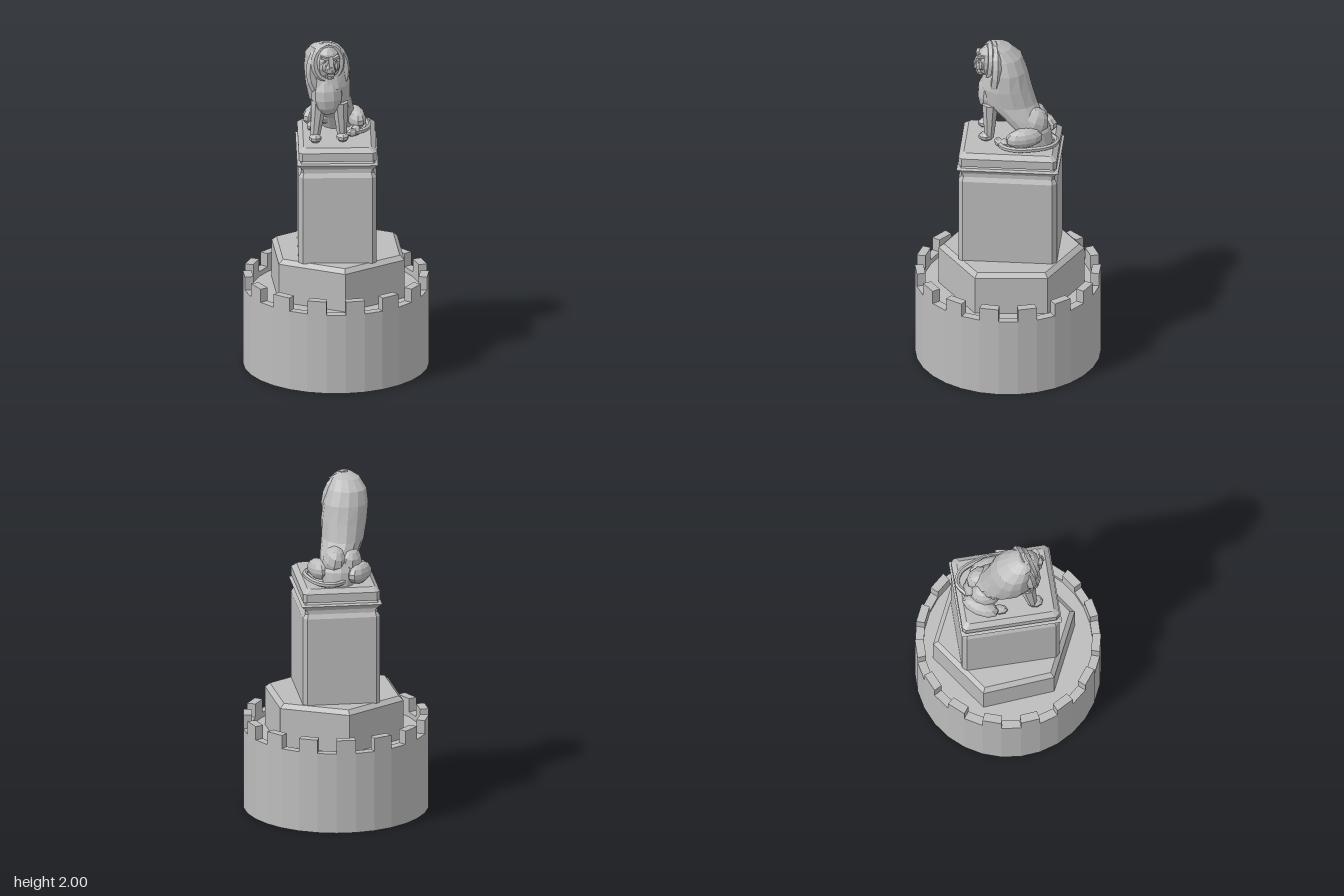
import * as THREE from 'three';

const stone = new THREE.MeshStandardMaterial({ color: 0xbcbcbc, flatShading: true });
stone.name = 'grey stone';

// Closed solid through stacked rings of [x, y, z], counter-clockwise seen from above
function loft(rings) {
  const n = rings[0].length, pos = rings.flat(2), idx = [];
  for (let k = 0; k < rings.length - 1; k++) {
    for (let j = 0; j < n; j++) {
      const a = k * n + j, b = k * n + (j + 1) % n;
      idx.push(a, b, b + n, a, b + n, a + n);
    }
  }
  const top = (rings.length - 1) * n;
  for (let j = 1; j < n - 1; j++) idx.push(0, j + 1, j, top, top + j, top + j + 1);
  const g = new THREE.BufferGeometry();
  g.setAttribute('position', new THREE.Float32BufferAttribute(pos, 3));
  g.setIndex(idx);
  const flat = g.toNonIndexed();
  flat.computeVertexNormals();
  return flat;
}

// Ellipse ring turned about y
function ellipseRing(n, cx, y, cz, rx, rz, turn = 0, start = 0) {
  return Array.from({ length: n }, (_, i) => {
    const t = start + i / n * Math.PI * 2, x = rx * Math.sin(t), z = rz * Math.cos(t);
    return [cx + x * Math.cos(turn) + z * Math.sin(turn), y, cz - x * Math.sin(turn) + z * Math.cos(turn)];
  });
}

// Rectangle with cut corners
function cutRect(a, b, c, y) {
  return [[c - a, b], [a - c, b], [a, b - c], [a, c - b], [a - c, -b], [c - a, -b], [-a, c - b], [-a, b - c]]
    .map(([x, z]) => [x, y, z]);
}

function add(parent, name, geometry, position = [0, 0, 0], turn = [0, 0, 0]) {
  const m = new THREE.Mesh(geometry, stone);
  m.name = name;
  m.position.set(...position);
  m.rotation.set(...turn);
  parent.add(m);
  return m;
}

function blob(parent, name, position, radii, turn = [0, 0, 0], w = 10, h = 7) {
  return add(parent, name, new THREE.SphereGeometry(1, w, h).scale(...radii), position, turn);
}

// Tapered limb between two points
function limb(parent, name, from, to, r0, r1) {
  const a = new THREE.Vector3(...from), b = new THREE.Vector3(...to), d = b.clone().sub(a);
  const m = add(parent, name, new THREE.CylinderGeometry(r1, r0, d.length(), 8));
  m.position.copy(a).addScaledVector(d, 0.5);
  m.quaternion.setFromUnitVectors(new THREE.Vector3(0, 1, 0), d.normalize());
  return m;
}

function buildTower() {
  const g = new THREE.Group(), R = 0.537, r = 0.487, step = Math.PI / 15;
  g.name = 'tower';
  const profile = [[0, 0], [R, 0], [R, 0.48], [r, 0.48], [r, 0.45], [0, 0.45]].map(p => new THREE.Vector2(...p));
  add(g, 'drum', new THREE.LatheGeometry(profile, 30, step / 2));
  // every other side of the wall carries a merlon
  for (let i = 0; i < 15; i++) {
    const p = (2 * i + 0.5) * step, q = p + step;
    const ring = y => [[R, p], [R, q], [r, q], [r, p]].map(([d, t]) => [d * Math.sin(t), y, d * Math.cos(t)]);
    add(g, 'merlon', loft([ring(0.48), ring(0.56)]));
  }
  return g;
}

function buildPedestal() {
  const g = new THREE.Group();
  g.name = 'pedestal';
  // six-sided step with a bevelled rim
  const hex = (y, R) => ellipseRing(6, 0.02, y, -0.015, R, R, 0, 41.6 * Math.PI / 180);
  add(g, 'hexagonalStep', loft([hex(0.44, 0.42), hex(0.68, 0.42), hex(0.705, 0.39)]));
  const column = new THREE.Group();
  column.name = 'column';
  column.position.set(0.01, 0, -0.012);
  column.rotation.y = -0.4;
  g.add(column);
  const rings = list => loft(list.map(([y, a, b, c]) => cutRect(a, b, c, y)));
  add(column, 'shaft', rings([[0.7, 0.225, 0.285, 0.025], [1.225, 0.225, 0.285, 0.025],
    [1.25, 0.21, 0.27, 0.015], [1.28, 0.21, 0.27, 0.01]]));
  add(column, 'cornice', rings([[1.27, 0.208, 0.268, 0.005], [1.283, 0.215, 0.275, 0.004],
    [1.303, 0.234, 0.294, 0.003], [1.31, 0.215, 0.275, 0.004], [1.325, 0.205, 0.265, 0.005]]));
  add(column, 'capSlab', rings([[1.325, 0.224, 0.284, 0.02], [1.375, 0.224, 0.284, 0.02],
    [1.4, 0.195, 0.255, 0.015]]));
  return g;
}

function buildHead() {
  const head = new THREE.Group();
  head.name = 'head';
  head.position.set(-0.09, 1.87, 0.085);
  head.rotation.y = -0.15;
  blob(head, 'skull', [0, 0.01, 0], [0.078, 0.1, 0.07]);
  // mane folds framing the face
  const fold = (name, rx, ry, tube, p, tilt) => add(head, name,
    new THREE.TorusGeometry(1, tube / rx, 6, 18).scale(rx, ry, rx), p, [tilt, 0, 0]);
  fold('innerMane', 0.077, 0.093, 0.024, [0, 0.008, 0], -0.1);
  fold('outerMane', 0.1, 0.135, 0.032, [0.008, -0.05, -0.025], -0.08);
  // face
  add(head, 'muzzle', loft([ellipseRing(8, 0, -0.03, 0.05, 0.036, 0.038),
    ellipseRing(8, 0, -0.005, 0.05, 0.035, 0.042), ellipseRing(8, 0, 0.025, 0.045, 0.02, 0.035)]));
  add(head, 'lowerJaw', loft([ellipseRing(8, 0, -0.072, 0.045, 0.022, 0.026),
    ellipseRing(8, 0, -0.05, 0.045, 0.03, 0.035)]));
  add(head, 'noseBridge', new THREE.BoxGeometry(0.026, 0.065, 0.03), [0, 0.03, 0.062], [-0.35, 0, 0]);
  add(head, 'noseTip', new THREE.BoxGeometry(0.03, 0.015, 0.016), [0, 0, 0.084]);
  for (const s of [-1, 1]) {
    add(head, 'brow', new THREE.BoxGeometry(0.042, 0.014, 0.025), [s * 0.032, 0.055, 0.057], [0, s * 0.3, s * 0.25]);
    blob(head, 'eye', [s * 0.03, 0.038, 0.056], [0.012, 0.007, 0.01], [0, 0, 0], 6, 4);
    blob(head, 'cheek', [s * 0.035, 0, 0.045], [0.022, 0.032, 0.024], [0, 0, 0], 7, 5);
    add(head, 'fang', new THREE.ConeGeometry(0.005, 0.02, 4), [s * 0.02, -0.036, 0.072], [Math.PI, 0, 0]);
  }
  return head;
}

function buildLion() {
  const g = new THREE.Group();
  g.name = 'lion';
  // seated trunk, from rump up to crown: y, centre x, centre z, half width, half depth
  const trunk = [[1.40, 0.075, -0.155, 0.09, 0.09], [1.48, 0.06, -0.13, 0.108, 0.105],
    [1.56, 0.02, -0.075, 0.112, 0.125], [1.63, -0.03, -0.025, 0.122, 0.155], [1.73, -0.05, -0.005, 0.132, 0.15],
    [1.83, -0.06, -0.01, 0.13, 0.123], [1.91, -0.075, 0, 0.112, 0.105], [1.965, -0.085, 0.03, 0.08, 0.075],
    [1.99, -0.088, 0.055, 0.04, 0.035]];
  add(g, 'trunk', loft(trunk.map(([y, x, z, a, b]) => ellipseRing(14, x, y, z, a, b, -0.4))));
  blob(g, 'chestMane', [-0.085, 1.68, 0.07], [0.095, 0.125, 0.085], [-0.1, -0.3, 0]);
  g.add(buildHead());
  // front legs with paws
  for (const [side, top, foot] of [['right', [-0.13, 1.64, 0.05], [-0.162, 1.42, 0.065]],
    ['left', [-0.02, 1.63, 0.1], [-0.01, 1.42, 0.11]]]) {
    limb(g, side + 'FrontLeg', foot, top, 0.028, 0.05);
    blob(g, side + 'FrontPaw', [foot[0] - 0.006, 1.425, foot[2] + 0.018], [0.037, 0.027, 0.045], [0, -0.3, 0], 8, 5);
  }
  // folded hind legs
  blob(g, 'leftThigh', [0.085, 1.52, -0.125], [0.072, 0.1, 0.09], [-0.4, -0.3, 0]);
  blob(g, 'leftHaunch', [0.148, 1.468, -0.05], [0.053, 0.06, 0.11], [0.08, -0.15, 0]);
  blob(g, 'leftHindPaw', [0.1, 1.425, 0.055], [0.032, 0.026, 0.055], [0, -0.4, 0], 8, 5);
  blob(g, 'rightThigh', [0, 1.51, -0.15], [0.075, 0.095, 0.09], [-0.3, -0.6, 0]);
  blob(g, 'rightHaunch', [-0.035, 1.46, -0.21], [0.055, 0.06, 0.115], [0, -0.98, 0]);
  blob(g, 'rightHindPaw', [-0.1, 1.425, -0.12], [0.03, 0.026, 0.05], [0, -0.6, 0], 8, 5);
  // tail curled round the left side
  const path = [[0.08, -0.23], [0.16, -0.245], [0.215, -0.19], [0.222, -0.09], [0.195, 0.02], [0.14, 0.075], [0.06, 0.08]]
    .map(([x, z]) => new THREE.Vector3(x, 1.425, z));
  add(g, 'tail', new THREE.TubeGeometry(new THREE.CatmullRomCurve3(path), 20, 0.016, 6));
  blob(g, 'tailTuft', [0.07, 1.424, 0.08], [0.04, 0.024, 0.024], [0, 0, 0], 7, 5);
  return g;
}

export function createModel() {
  const model = new THREE.Group();
  model.name = 'lionMonument';
  model.add(buildTower(), buildPedestal(), buildLion());
  return model;
}
